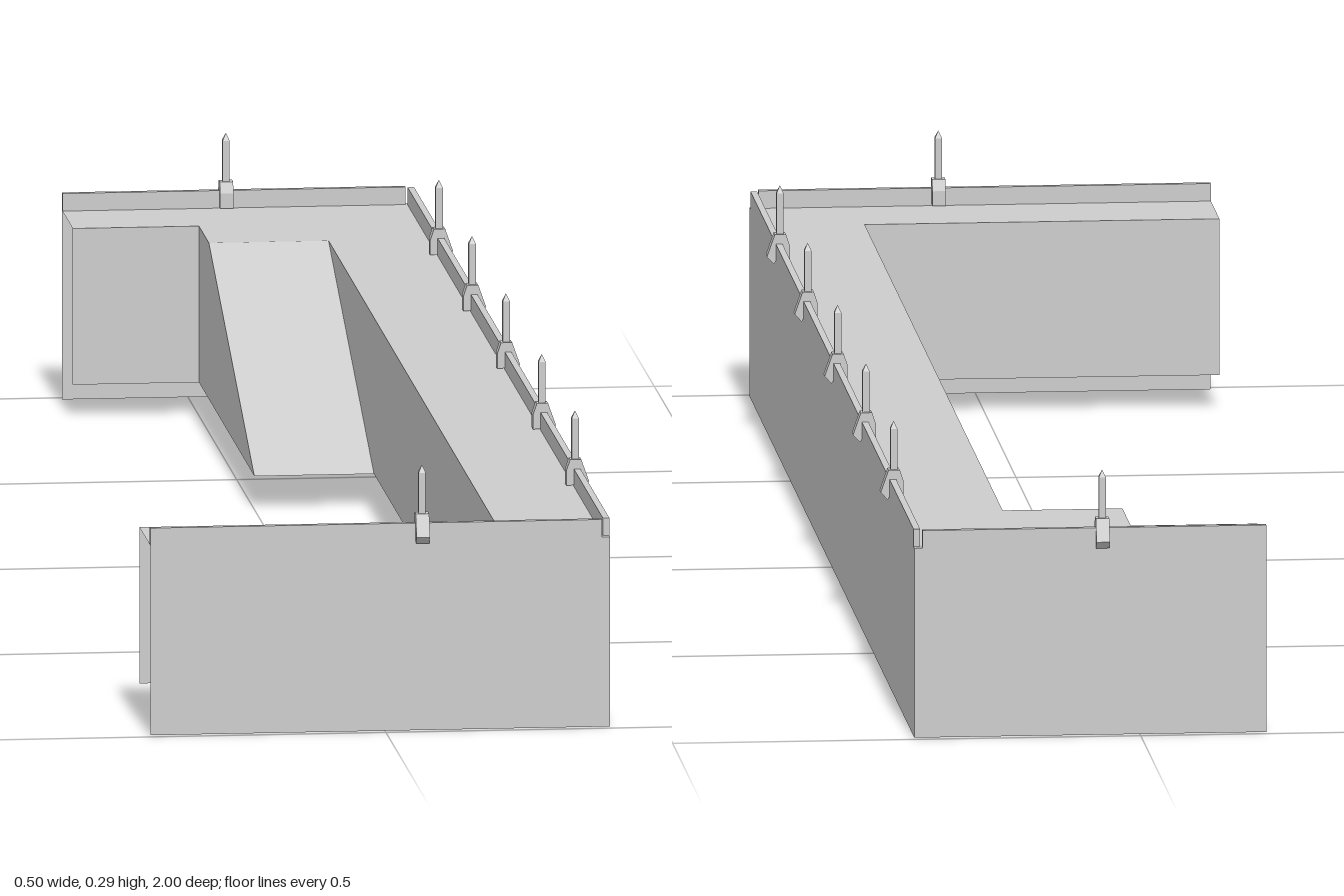
import * as THREE from 'three';

const X_OUT = 0.241, X_IN = 0.128;          // long wall, outer and inner faces
const Z_OUT = 0.99, Z_IN = 0.88;            // end wings, outer and inner faces
const X_FRONT = -0.251, X_BACK = -0.135;    // free ends of the wings
const DECK = 0.205, TOP = 0.224, INNER_FOOT = 0.036;

export function createModel() {
  const stone = new THREE.MeshStandardMaterial({ color: 0xcccccc, side: THREE.DoubleSide });
  stone.name = 'paleGrey';
  const model = new THREE.Group();
  model.name = 'cornerWall';

  const add = (name, geometry, parent = model) => {
    const mesh = new THREE.Mesh(geometry, stone);
    mesh.name = name;
    parent.add(mesh);
    return mesh;
  };

  // Flat sheet from corner points [x, y, z] given in order
  const sheet = (name, ...points) => {
    const positions = [];
    for (let i = 1; i < points.length - 1; i++) positions.push(...points[0], ...points[i], ...points[i + 1]);
    const geometry = new THREE.BufferGeometry();
    geometry.setAttribute('position', new THREE.Float32BufferAttribute(positions, 3));
    geometry.computeVertexNormals();
    return add(name, geometry);
  };

  // Upright sheets following a plan path of [x, z] points
  const wall = (name, path, y0, y1) => {
    for (let i = 0; i < path.length - 1; i++) {
      const [ax, az] = path[i], [bx, bz] = path[i + 1];
      sheet(name, [ax, y0, az], [bx, y0, bz], [bx, y1, bz], [ax, y1, az]);
    }
  };

  // Hollow wall: tall outer skin, shorter inner skin, open ends
  wall('outerWall', [[X_FRONT, Z_OUT], [X_OUT, Z_OUT], [X_OUT, -Z_OUT], [X_BACK, -Z_OUT]], 0, DECK);
  wall('innerWall', [[X_FRONT, Z_IN], [X_IN, Z_IN], [X_IN, -Z_IN], [X_BACK, -Z_IN]], INNER_FOOT, DECK);

  // Walkway on top
  const deck = (x0, x1, z0, z1) =>
    sheet('walkway', [x0, DECK, z1], [x1, DECK, z1], [x1, DECK, z0], [x0, DECK, z0]);
  deck(X_FRONT, X_OUT, Z_IN, Z_OUT);
  deck(X_IN, X_OUT, -Z_IN, Z_IN);
  deck(X_BACK, X_OUT, -Z_OUT, -Z_IN);

  // Landing and ramp against the inner side
  const zLanding = -0.78, zFoot = -0.323;
  deck(0, X_IN, -Z_IN, zLanding).name = 'landing';
  sheet('ramp', [0, INNER_FOOT, zFoot], [X_IN, INNER_FOOT, zFoot], [X_IN, DECK, zLanding], [0, DECK, zLanding]);
  sheet('rampSide', [0, INNER_FOOT, -Z_IN], [0, INNER_FOOT, zFoot], [0, DECK, zLanding], [0, DECK, -Z_IN]);

  // Low lip along the outer edge, stopping short of the corners
  const lip = (x0, x1, z0, z1) =>
    add('lip', new THREE.BoxGeometry(x1 - x0, TOP - DECK, z1 - z0))
      .position.set((x0 + x1) / 2, (TOP + DECK) / 2, (z0 + z1) / 2);
  const thick = 0.007, gap = 0.009;
  lip(X_OUT - thick, X_OUT, -Z_OUT + gap, Z_OUT - gap);
  lip(X_FRONT, X_OUT - gap, Z_OUT - thick, Z_OUT);
  lip(X_BACK, X_OUT - gap, -Z_OUT, -Z_OUT + thick);

  // Spike on a bracket that clasps the lip; local +x points outwards from the wall face
  const width = 0.0143;
  const profile = [[-0.015, 0.206], [-0.015, 0.222], [-0.011, 0.234], [0.001, 0.234],
    [0.0095, 0.21], [0.002, 0.202], [-0.001, 0.207]];
  const bracketShape = new THREE.Shape(profile.map(([x, y]) => new THREE.Vector2(x, y)));
  const bracket = new THREE.ExtrudeGeometry(bracketShape, { depth: width, bevelEnabled: false });
  bracket.translate(0, 0, -width / 2);
  const shaft = new THREE.BoxGeometry(0.0075, 0.046, 0.0075).translate(-0.005, 0.255, 0);
  const tip = new THREE.ConeGeometry(0.0053, 0.008, 4).toNonIndexed();
  tip.computeVertexNormals();
  tip.rotateY(Math.PI / 4).translate(-0.005, 0.282, 0);

  const post = (x, z, turn) => {
    const group = new THREE.Group();
    group.name = 'post';
    add('bracket', bracket, group);
    add('spikeShaft', shaft, group);
    add('spikeTip', tip, group);
    group.position.set(x, 0, z);
    group.rotation.y = turn;
    model.add(group);
  };
  for (const z of [0.683, 0.349, -0.011, -0.352, -0.685]) post(X_OUT, z, 0);
  post(0.04, Z_OUT, -Math.PI / 2);
  post(0.04, -Z_OUT, Math.PI / 2);

  return model;
}
